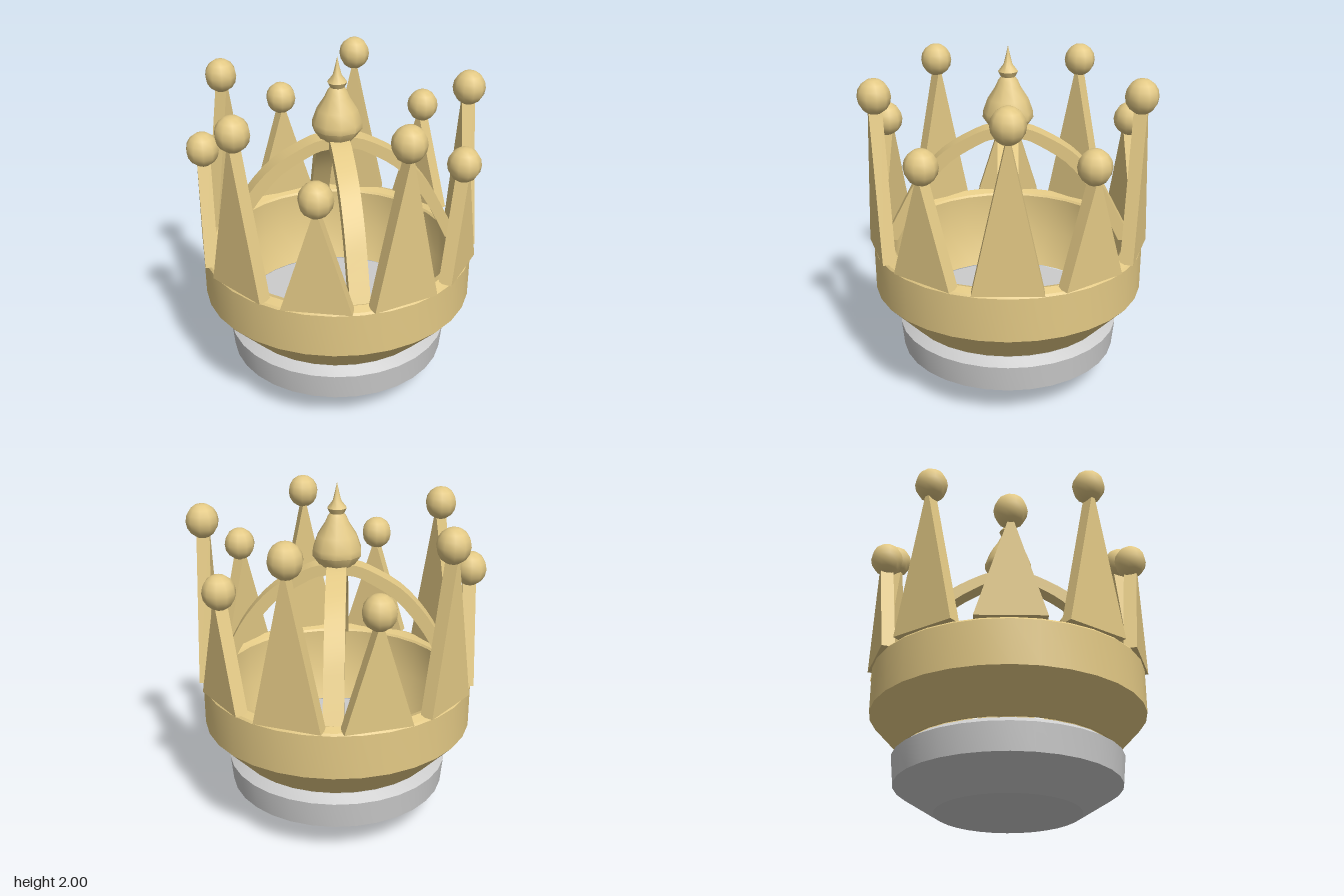
import * as THREE from 'three';
import { toCreasedNormals } from 'three/addons/utils/BufferGeometryUtils.js';

const gold = new THREE.MeshStandardMaterial({ color: 0xe3c985 });
const grey = new THREE.MeshStandardMaterial({ color: 0xcccccc });

function add(parent, name, geometry, material) {
  const mesh = new THREE.Mesh(geometry, material);
  mesh.name = name;
  parent.add(mesh);
  return mesh;
}

// Turned part from [radius, height] pairs, listed bottom to top on the outside
function turned(profile, sides, crease = 0.45) {
  const points = profile.map(([r, y]) => new THREE.Vector2(r, y));
  return toCreasedNormals(new THREE.LatheGeometry(points, sides), crease);
}

// Flat outline in x/y given a thickness centred on z = 0
function slab(shape, depth, crease = 0.5) {
  const g = new THREE.ExtrudeGeometry(shape, { depth, bevelEnabled: false, curveSegments: 8 });
  g.translate(0, 0, -depth / 2);
  return toCreasedNormals(g, crease);
}

// Triangular point with a ball on its tip
function createPoint(ballHeight) {
  const group = new THREE.Group();
  group.name = 'crownPoint';
  const triangle = new THREE.Shape([
    new THREE.Vector2(-0.193, 0.862),
    new THREE.Vector2(0.193, 0.862),
    new THREE.Vector2(0, ballHeight - 0.03),
  ]);
  add(group, 'spike', slab(triangle, 0.075), gold).position.z = 0.753;
  const ball = add(group, 'ball', new THREE.SphereGeometry(0.093, 10, 8), gold);
  ball.position.set(0, ballHeight, 0.755);
  ball.scale.y = 1.06;
  return group;
}

// Curved strap running over the crown from rim to rim
function createArch() {
  const outer = [[0.73, 0.85], [0.63, 1.04], [0.53, 1.22], [0.38, 1.39], [0.2, 1.5], [0.08, 1.54]];
  const inner = [[0.65, 0.85], [0.565, 1.02], [0.475, 1.17], [0.34, 1.33], [0.18, 1.435], [0.08, 1.475]];
  const mirrored = (pts) => pts.map(([x, y]) => [-x, y]).reverse();
  const curve = (pts) => new THREE.SplineCurve(
    [...pts, ...mirrored(pts)].map(([x, y]) => new THREE.Vector2(x, y))).getPoints(32);
  return slab(new THREE.Shape([...curve(outer), ...curve(inner).reverse()]), 0.113);
}

export function createModel() {
  const model = new THREE.Group();
  model.name = 'crown';

  // Grey base under the crown
  add(model, 'base', turned([
    [0, 0.005], [0.41, 0.045], [0.64, 0.19], [0.655, 0.345], [0.6, 0.383], [0, 0.383],
  ], 32), grey);

  // Hollow band with a funnel-shaped lower half and a rounded rim
  add(model, 'band', turned([
    [0.605, 0.39], [0.79, 0.59], [0.79, 0.845], [0.78, 0.857], [0.735, 0.875],
    [0.69, 0.857], [0.68, 0.845], [0.68, 0.6], [0.595, 0.39], [0.605, 0.39],
  ], 32), gold);

  // Ten points, alternately tall and short
  for (let i = 0; i < 10; i++) {
    const point = createPoint(i % 2 ? 1.51 : 1.775);
    // The first tall point stands at +x
    point.rotation.y = Math.PI / 2 - (i * Math.PI) / 5;
    model.add(point);
  }

  // Two crossing arches
  const arch = createArch();
  for (let i = 0; i < 2; i++) {
    add(model, 'arch', arch, gold).rotation.y = (i * Math.PI) / 2;
  }

  // Finial where the arches meet
  add(model, 'finial', turned([
    [0, 1.525], [0.1, 1.53], [0.143, 1.59], [0.142, 1.625], [0.115, 1.7], [0.07, 1.77], [0.055, 1.805],
    [0.04, 1.825], [0.056, 1.855], [0.025, 1.895], [0.012, 1.945], [0, 2],
  ], 10, 0.7), gold);

  return model;
}
